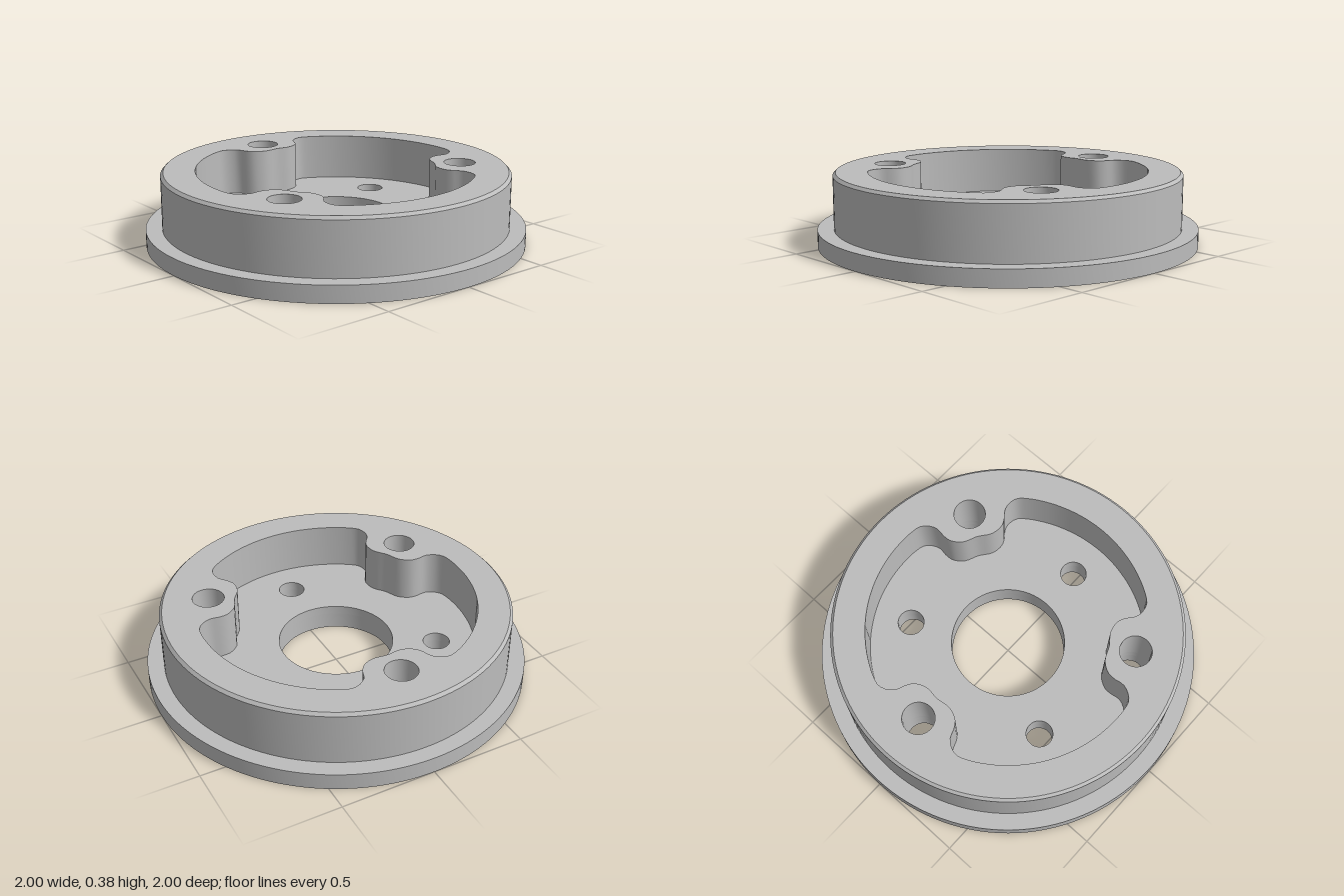
import * as THREE from 'three';
import { toCreasedNormals } from 'three/addons/utils/BufferGeometryUtils.js';

const RAD = Math.PI / 180;
const FLANGE_TOP = 0.09, FLOOR_TOP = 0.137, CHAMFER = 0.37, TOP = 0.385;
const BODY_R = 0.915, RIM_R = 0.9;

// Circle outline of radius r, centred at polar position (dist, deg)
function circle(r, dist = 0, deg = 0) {
  const n = r > 0.5 ? 128 : r > 0.2 ? 72 : 32;
  const cx = dist * Math.cos(deg * RAD), cy = dist * Math.sin(deg * RAD);
  return Array.from({ length: n }, (_, i) => {
    const a = (i / n) * Math.PI * 2;
    return new THREE.Vector2(cx + r * Math.cos(a), cy + r * Math.sin(a));
  });
}

// Upright plate between two heights with holes cut through it
function plate(outline, holes, y0, y1) {
  const shape = new THREE.Shape(outline);
  shape.holes = holes.map((pts) => new THREE.Path(pts));
  const g = new THREE.ExtrudeGeometry(shape, { depth: y1 - y0, bevelEnabled: false });
  g.rotateX(-Math.PI / 2);
  g.translate(0, y0, 0);
  return toCreasedNormals(g, 30 * RAD);
}

// Pocket outline: a round wall interrupted by three inward bosses
function pocketOutline() {
  const side = [[0.522, 0.08], [0.55, 0.143], [0.59, 0.17], [0.635, 0.188], [0.665, 0.225],
    [0.677, 0.27], [0.662, 0.318]];
  const half = side.map(([r, t]) => [Math.hypot(r, t), Math.atan2(t, r)]);
  for (const d of [32, 40, 50]) half.push([0.735, d * RAD]);
  const pts = [];
  for (const deg of [-60, 60, 180]) {
    const add = (r, a) => pts.push(new THREE.Vector3(
      r * Math.cos(deg * RAD + a), r * Math.sin(deg * RAD + a), 0));
    [...half].reverse().forEach(([r, a]) => add(r, -a));
    add(0.529, 0);
    half.forEach(([r, a]) => add(r, a));
    add(0.735, 60 * RAD);
  }
  const curve = new THREE.CatmullRomCurve3(pts, true, 'centripetal');
  return curve.getSpacedPoints(210).slice(0, -1).map((p) => new THREE.Vector2(p.x, p.y));
}

export function createModel() {
  const group = new THREE.Group();
  const metal = new THREE.MeshStandardMaterial({ color: 0xbcbcbc });
  metal.name = 'plain grey metal';
  const add = (name, geometry) => {
    const mesh = new THREE.Mesh(geometry, metal);
    mesh.name = name;
    group.add(mesh);
  };

  const bore = circle(0.302);
  const bossHoles = [-60, 60, 180].map((d) => circle(0.084, 0.667, d));
  const floorHoles = [0, 120, -120].map((d) => circle(0.07, 0.533, d));
  // Blind holes open only to the underside
  const blindHoles = [
    ...[30, -150].map((d) => circle(0.067, 0.535, d)),
    ...[90, -90].map((d) => circle(0.048, 0.535, d)),
  ];

  add('baseFlange', plate(circle(1), [bore, ...bossHoles, ...floorHoles, ...blindHoles], 0, FLANGE_TOP));
  add('pocketFloor', plate(circle(RIM_R), [bore, ...bossHoles, ...floorHoles], FLANGE_TOP, FLOOR_TOP));
  add('bossedWall', plate(circle(RIM_R), [pocketOutline(), ...bossHoles], FLOOR_TOP, TOP));

  // Outer cylindrical face with its chamfered top edge
  const profile = [[BODY_R, FLANGE_TOP], [BODY_R, CHAMFER], [RIM_R, TOP]]
    .map(([x, y]) => new THREE.Vector2(x, y));
  add('chamferedOuterFace', toCreasedNormals(new THREE.LatheGeometry(profile, 128), 30 * RAD));

  return group;
}
